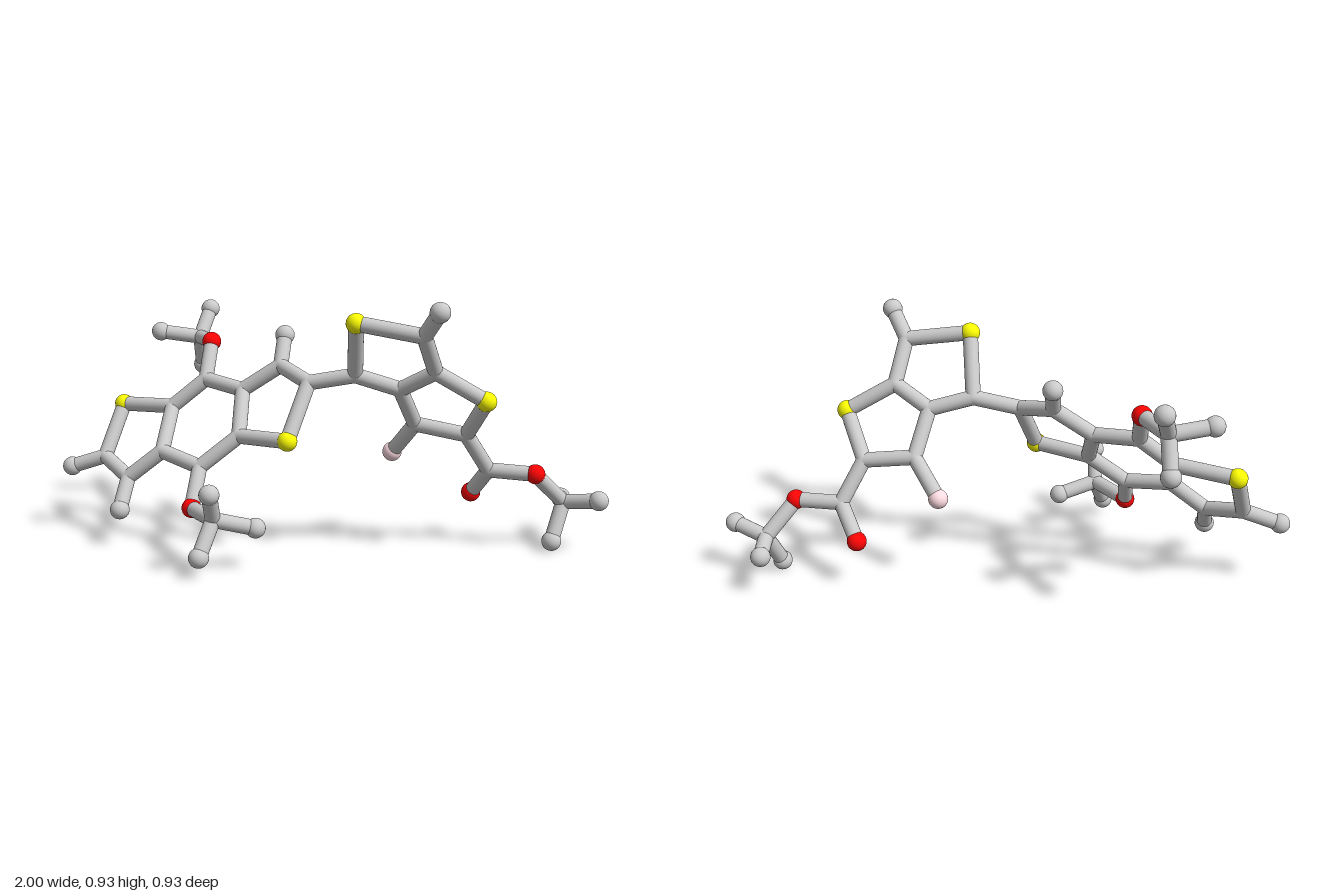
import * as THREE from 'three';

const BOND_R = 0.027, BALL_R = 0.035;
const material = (color) => new THREE.MeshStandardMaterial({ color });
const grey = material(0xcccccc);
const kinds = {
  joint: { r: BOND_R, mat: grey, name: 'carbonJoint' },
  tip: { r: BALL_R, mat: grey, name: 'hydrogenTip' },
  O: { r: BALL_R, mat: material(0xff0505), name: 'oxygenBall' },
  S: { r: BALL_R, mat: material(0xffff05), name: 'sulfurBall' },
  F: { r: BALL_R, mat: material(0xffdde4), name: 'fluorineBall' },
};

// Atom centres by fragment: key -> [x, y, z, kind]; kind defaults to a plain joint
const fragments = {
  fusedTripleRing: {
    s1: [-0.8, 0.463, -0.153, 'S'], c2: [-0.837, 0.285, -0.038], c3: [-0.71, 0.237, 0.065],
    c3a: [-0.582, 0.338, 0.052], c7a: [-0.588, 0.475, -0.092], c8: [-0.465, 0.577, -0.117],
    c8a: [-0.307, 0.556, -0.052], c4a: [-0.285, 0.415, 0.083], c4: [-0.42, 0.305, 0.12],
    s5: [-0.09, 0.423, 0.16, 'S'], c6: [-0.043, 0.608, 0.037], c7: [-0.167, 0.648, -0.06],
    h2: [-0.968, 0.241, -0.033, 'tip'], h3: [-0.715, 0.137, 0.147, 'tip'],
    h7: [-0.17, 0.747, -0.138, 'tip'],
  },
  upperMethoxy: {
    o8: [-0.47, 0.702, -0.213, 'O'], m8: [-0.557, 0.697, -0.347],
    m8a: [-0.54, 0.796, -0.43, 'tip'], m8b: [-0.57, 0.579, -0.415, 'tip'],
    m8c: [-0.703, 0.718, -0.313, 'tip'],
  },
  lowerMethoxy: {
    o4: [-0.42, 0.182, 0.22, 'O'], m4: [-0.302, 0.185, 0.352],
    m4a: [-0.293, 0.29, 0.42, 'tip'], m4b: [-0.33, 0.073, 0.43, 'tip'],
    m4c: [-0.168, 0.149, 0.299, 'tip'],
  },
  fusedDoubleRing: {
    c10: [0.123, 0.64, 0.035], s11: [0.148, 0.838, 0.155, 'S'], c12: [0.38, 0.803, 0.165],
    c13: [0.407, 0.667, 0.067], s14: [0.58, 0.568, 0.044, 'S'], c15: [0.502, 0.425, -0.067],
    c16: [0.317, 0.452, -0.082], c17: [0.279, 0.595, 0.023],
    h12: [0.439, 0.892, 0.23, 'tip'], f16: [0.224, 0.33, -0.154, 'F'],
  },
  methylEster: {
    c18: [0.576, 0.285, -0.133], o18: [0.507, 0.178, -0.215, 'O'], o19: [0.743, 0.282, -0.119, 'O'],
    m19: [0.841, 0.166, -0.195], m19a: [0.966, 0.19, -0.144, 'tip'],
    m19b: [0.807, 0.037, -0.128, 'tip'], m19c: [0.828, 0.15, -0.314, 'tip'],
  },
};

// Each chain is a run of consecutively bonded atoms
const chains = {
  fusedTripleRing: ['s1 c2 c3 c3a c7a s1', 'c7a c8 c8a c4a c4 c3a', 'c4a s5 c6 c7 c8a',
    'c2 h2', 'c3 h3', 'c7 h7', 'c6 c10'],
  upperMethoxy: ['c8 o8 m8 m8a', 'm8 m8b', 'm8 m8c'],
  lowerMethoxy: ['c4 o4 m4 m4a', 'm4 m4b', 'm4 m4c'],
  fusedDoubleRing: ['c10 s11 c12 c13 c17 c10', 'c13 s14 c15 c16 c17', 'c12 h12', 'c16 f16'],
  methylEster: ['c15 c18 o18', 'c18 o19 m19 m19a', 'm19 m19b', 'm19 m19c'],
};

const bondGeometry = new THREE.CylinderGeometry(BOND_R, BOND_R, 1, 24, 1, true);
const ballGeometry = new THREE.SphereGeometry(1, 24, 16);
const UP = new THREE.Vector3(0, 1, 0);

function makeBall([x, y, z, kind = 'joint']) {
  const { r, mat, name } = kinds[kind];
  const ball = new THREE.Mesh(ballGeometry, mat);
  ball.name = name;
  ball.position.set(x, y, z);
  ball.scale.setScalar(r);
  return ball;
}

function makeBond(from, to) {
  const a = new THREE.Vector3(...from.slice(0, 3));
  const b = new THREE.Vector3(...to.slice(0, 3));
  const bond = new THREE.Mesh(bondGeometry, grey);
  bond.name = 'bond';
  bond.position.copy(a).lerp(b, 0.5);
  bond.scale.y = a.distanceTo(b);
  bond.quaternion.setFromUnitVectors(UP, b.sub(a).normalize());
  return bond;
}

export function createModel() {
  const model = new THREE.Group();
  model.name = 'molecule';
  const atoms = Object.assign({}, ...Object.values(fragments));

  for (const [name, members] of Object.entries(fragments)) {
    const group = new THREE.Group();
    group.name = name;
    // Balls and rounded joints
    for (const atom of Object.values(members)) group.add(makeBall(atom));
    // Rods between neighbours
    for (const chain of chains[name]) {
      const keys = chain.split(' ');
      for (let i = 1; i < keys.length; i++) group.add(makeBond(atoms[keys[i - 1]], atoms[keys[i]]));
    }
    model.add(group);
  }
  return model;
}
